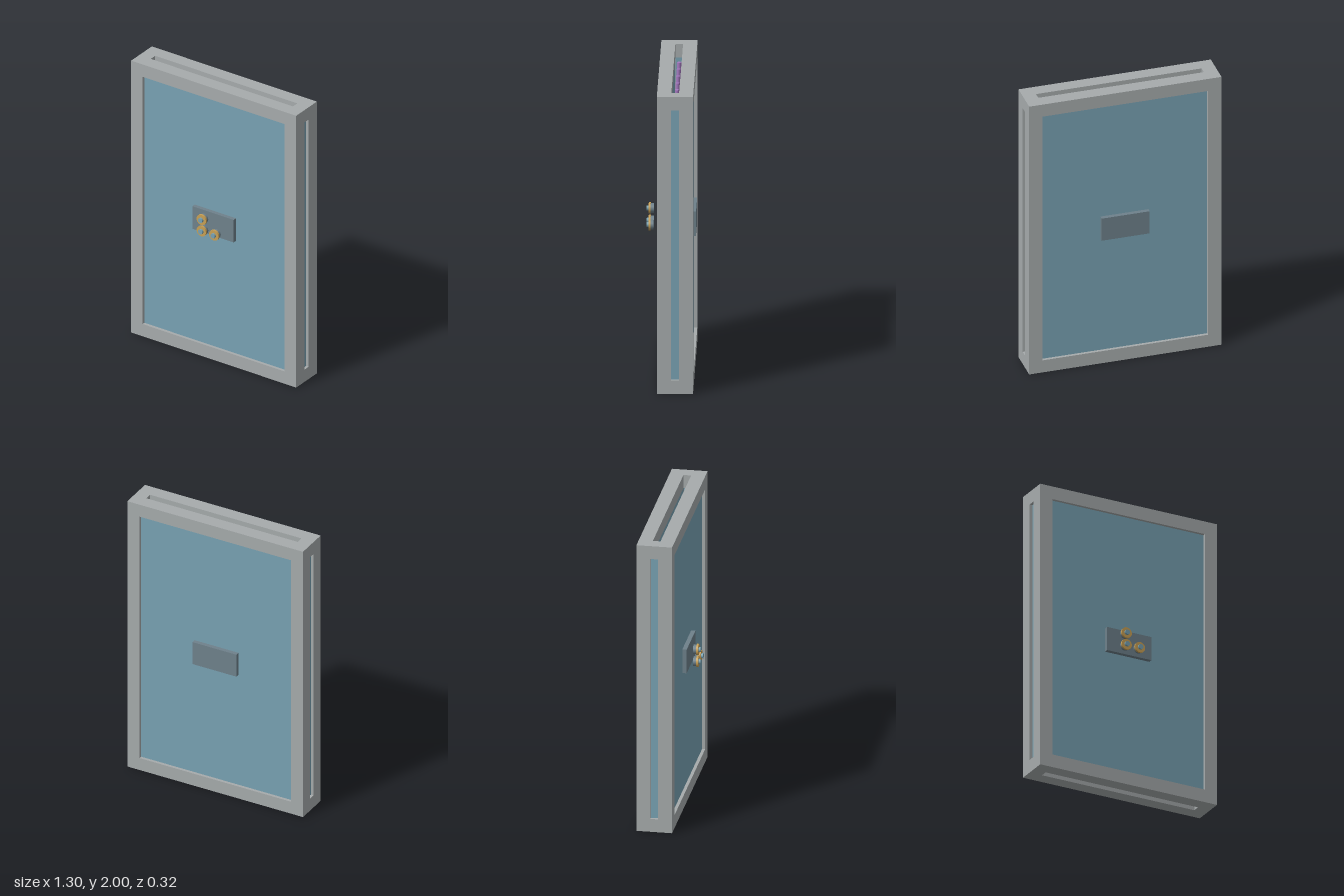
import * as THREE from 'three';

const mat = (name, color, side = THREE.FrontSide) => {
  const m = new THREE.MeshStandardMaterial({ color, side });
  m.name = name;
  return m;
};

export function createModel() {
  const root = new THREE.Group();
  root.name = 'slidingPanelDoor';
  const grey = mat('frame grey', 0xa6abac);
  const blue = mat('panel blue', 0x78a2b3);
  const slate = mat('lock slate', 0x6e818b);
  const brass = mat('brass', 0xc8a055);
  const purple = mat('rod purple', 0xa579c0);

  const W = 1.3, H = 2, D = 0.234, ZC = -0.038; // overall frame
  const B = 0.09, SLOT = 0.05;                  // bar width, slot width

  const add = (name, geo, material, x, y, z, parent = root) => {
    const m = new THREE.Mesh(geo, material);
    m.name = name;
    m.position.set(x, y, z);
    parent.add(m);
    return m;
  };
  const box = (name, w, h, d, material, x, y, z) =>
    add(name, new THREE.BoxGeometry(w, h, d), material, x, y, z);

  // Slotted top and bottom rails
  const rect = (C, w, h) => {
    const s = new C();
    s.moveTo(-w / 2, -h / 2);
    s.lineTo(w / 2, -h / 2);
    s.lineTo(w / 2, h / 2);
    s.lineTo(-w / 2, h / 2);
    s.closePath();
    return s;
  };
  const railShape = rect(THREE.Shape, W, D);
  railShape.holes.push(rect(THREE.Path, W - 2 * B, SLOT));
  const railGeo = new THREE.ExtrudeGeometry(railShape, { depth: B, bevelEnabled: false });
  railGeo.rotateX(-Math.PI / 2);
  add('bottomRail', railGeo, grey, 0, 0, ZC);
  add('topRail', railGeo, grey, 0, H - B, ZC);

  // Side posts, split by a long slot with a recessed strip
  const halfD = (D - SLOT) / 2;
  for (const sx of [-1, 1]) {
    for (const sz of [-1, 1]) {
      box('sidePost', B, H - 2 * B, halfD, grey,
        sx * (W - B) / 2, H / 2, ZC + sz * (SLOT + halfD) / 2);
    }
    box('sideStrip', 0.05, H - 2 * B, SLOT, blue, sx * 0.605, H / 2, ZC);
  }

  // Front and back panels, slightly recessed
  for (const sz of [-1, 1]) {
    box('panel', W - 2 * B, H - 2 * B, 0.07, blue, 0, H / 2, ZC + sz * 0.0615);
  }

  // Upright rods inside the cavity
  const rodGeo = new THREE.CylinderGeometry(0.014, 0.014, 1.76, 16);
  for (let i = 0; i < 8; i++) {
    add('rod', rodGeo, purple, -0.55 + i * 0.157, H / 2, ZC);
  }

  // Lock case passing through both panels, with ribs inside
  box('lockCase', 0.325, 0.165, 0.25, slate, 0, 1.002, ZC);
  for (let i = -2; i <= 2; i++) {
    box('lockRib', 0.024, 0.185, SLOT, blue, i * 0.062, 1.002, ZC);
  }

  // Three dials: faceted body, brass collar, central spindle
  const disc = (r, z0, z1, n) => {
    const g = new THREE.CylinderGeometry(r, r, z1 - z0, n);
    g.rotateX(Math.PI / 2);
    g.translate(0, 0, (z0 + z1) / 2);
    return g;
  };
  const bodyGeo = disc(0.032, 0.113, 0.134, 12);
  const collarGeo = disc(0.037, 0.134, 0.147, 24);
  const spindleGeo = disc(0.017, 0.113, 0.16, 16);
  for (const [x, y] of [[-0.05, 1.045], [-0.05, 0.962], [0.048, 0.962]]) {
    const dial = new THREE.Group();
    dial.name = 'dial';
    dial.position.set(x, y, 0);
    add('dialBody', bodyGeo, slate, 0, 0, 0, dial);
    add('dialCollar', collarGeo, brass, 0, 0, 0, dial);
    add('dialSpindle', spindleGeo, blue, 0, 0, 0, dial);
    root.add(dial);
  }
  return root;
}
